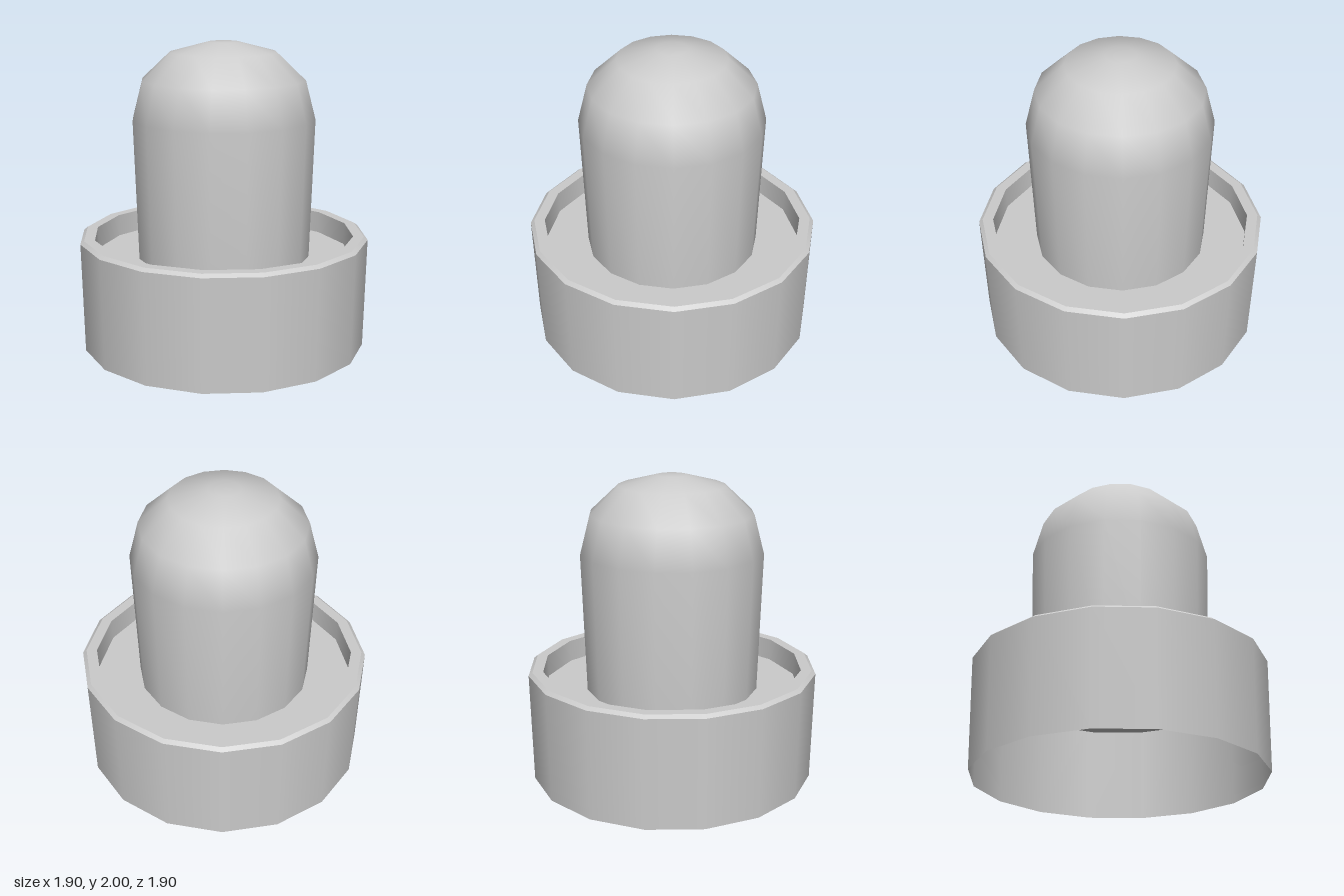
import * as THREE from 'three';

const SIDES = 16;
const material = new THREE.MeshStandardMaterial({ color: 0xcccccc, side: THREE.DoubleSide });

// Smooth surface of revolution; separate bands keep the edges between them sharp
function band(name, profile) {
  const points = profile.map(([r, y]) => new THREE.Vector2(r, y));
  const mesh = new THREE.Mesh(new THREE.LatheGeometry(points, SIDES), material);
  mesh.name = name;
  return mesh;
}

export function createModel() {
  const model = new THREE.Group();
  model.name = 'domedPlug';

  // Collar: open underneath, with a chamfered lip and a recessed tray
  const collar = new THREE.Group();
  collar.name = 'collar';
  collar.add(
    band('outerWall', [[0.935, 0], [0.95, 0.725]]),
    band('lipChamfer', [[0.95, 0.725], [0.925, 0.745]]),
    band('lipTop', [[0.925, 0.745], [0.855, 0.745]]),
    band('trayWall', [[0.855, 0.745], [0.85, 0.6]]),
    band('trayFloor', [[0.85, 0.6], [0.567, 0.6]])
  );
  model.add(collar);

  // Hollow stem, widening slightly up to its rounded top
  model.add(band('domedStem', [
    [0.567, 0.6], [0.595, 1.51], [0.53, 1.76], [0.345, 1.935], [0.1, 2], [0, 2]
  ]));

  return model;
}
